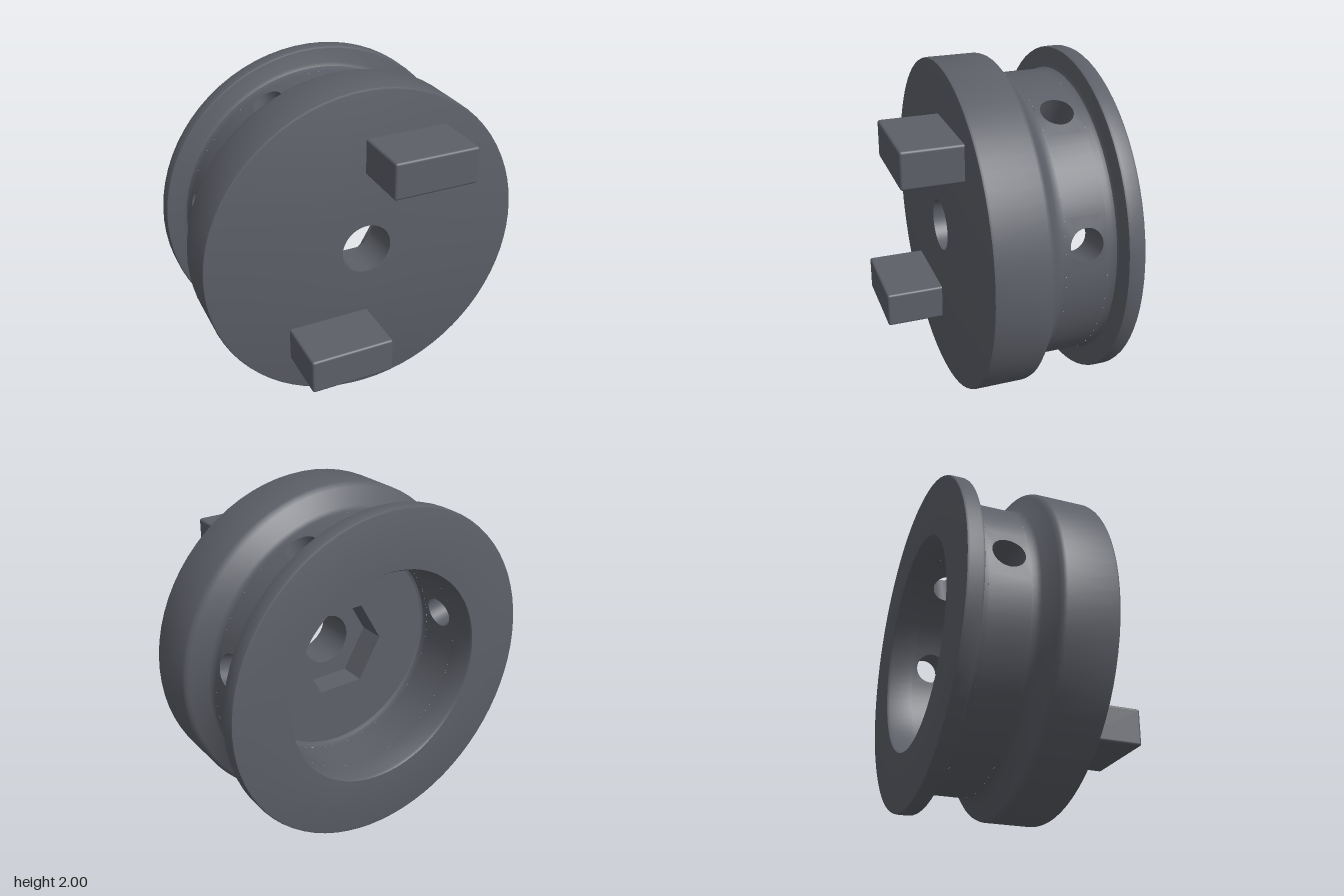
import * as THREE from 'three';
import { mergeGeometries, toCreasedNormals } from 'three/addons/utils/BufferGeometryUtils.js';
import { RoundedBoxGeometry } from 'three/addons/geometries/RoundedBoxGeometry.js';

const RAD = Math.PI / 180;
const OUTER = 0.87, BORE = 0.64;            // groove and bore radii
const BAND_Z = -0.32, BAND_HALF = 0.12;     // band that holds the radial holes
const HOLE_R = 0.095, PATCH_DEG = 10.5;
const HOLES = [12.9, 64.3, 115.7, 167.1];   // hole angles in degrees

// Revolve [radius, z] points about the z axis; angles run from +x towards +y
function revolve(points, start = 0, length = 360, segments = 72) {
  const pts = points.map(([r, z]) => new THREE.Vector2(r, z));
  return new THREE.LatheGeometry(pts, segments, (start + 90) * RAD, length * RAD).rotateX(Math.PI / 2);
}

// Piece of the wall around one radial hole: outer skin, hole lining, bore skin
function holePatch(deg) {
  const N = 24, pos = [], index = [];
  const rows = [[OUTER, false], [OUTER, true], [BORE, true], [BORE, false]];
  for (const [R, round] of rows) {
    for (let i = 0; i <= N; i++) {
      const a = (i / N) * Math.PI * 2, c = Math.cos(a), s = Math.sin(a);
      const m = Math.max(Math.abs(c), Math.abs(s));
      const t = deg * RAD + (round ? Math.asin(HOLE_R * c / R) : PATCH_DEG * RAD * c / m);
      const z = BAND_Z + (round ? HOLE_R * s : BAND_HALF * s / m);
      pos.push(R * Math.cos(t), R * Math.sin(t), z);
    }
  }
  for (let k = 0; k < 3; k++) {
    for (let i = 0; i < N; i++) {
      const a = k * (N + 1) + i, d = a + N + 1;
      index.push(a, a + 1, d + 1, a, d + 1, d);
    }
  }
  const g = new THREE.BufferGeometry();
  g.setAttribute('position', new THREE.Float32BufferAttribute(pos, 3));
  g.setIndex(index);
  g.computeVertexNormals();
  return g;
}

function join(parts) {
  const plain = parts.map((p) => {
    const g = p.index ? p.toNonIndexed() : p;
    g.deleteAttribute('uv');
    return g;
  });
  return toCreasedNormals(mergeGeometries(plain), 0.6);
}

export function createModel() {
  const model = new THREE.Group();
  model.name = 'groovedWheel';
  const steel = new THREE.MeshStandardMaterial({ color: 0x5c5f67 });
  steel.name = 'dark grey steel';

  const add = (geometry, name, x = 0, y = 1, z = 0) => {
    const mesh = new THREE.Mesh(geometry, steel);
    mesh.name = name;
    mesh.position.set(x, y, z);
    model.add(mesh);
  };

  const zBack = BAND_Z - BAND_HALF, zFront = BAND_Z + BAND_HALF;

  // Thin back flange with its bore edge
  add(join([revolve([
    [BORE, zBack], [BORE, -0.585], [0.65, -0.6], [0.985, -0.6], [0.996, -0.596], [1, -0.585],
    [1, -0.515], [0.996, -0.504], [0.985, -0.5], [0.9, -0.5], [0.878, -0.49], [OUTER, -0.47], [OUTER, zBack],
  ])]), 'backFlange');

  // Thick front disc, tapered into the groove, with the centre hole
  add(join([revolve([
    [OUTER, zFront], [OUTER, -0.175], [0.885, -0.15], [0.975, -0.09], [0.993, -0.075], [1, -0.055],
    [1, 0.235], [0.996, 0.246], [0.985, 0.25], [0.155, 0.25], [0.155, 0],
  ])]), 'frontDisc');

  // Groove wall between the radial holes, and the holes themselves
  const wall = [];
  HOLES.forEach((deg, i) => {
    const next = i < HOLES.length - 1 ? HOLES[i + 1] : HOLES[0] + 360;
    const start = deg + PATCH_DEG, length = next - deg - 2 * PATCH_DEG;
    const segments = Math.ceil(length / 5);
    wall.push(holePatch(deg));
    wall.push(revolve([[OUTER, zBack], [OUTER, zFront]], start, length, segments));
    wall.push(revolve([[BORE, zFront], [BORE, zBack]], start, length, segments));
  });
  add(join(wall), 'grooveWall');

  // Bore floor with a hexagonal socket
  const floor = new THREE.Shape().absarc(0, 0, BORE, 0, Math.PI * 2);
  const hex = new THREE.Path();
  for (let i = 0; i < 6; i++) {
    const x = 0.29 * Math.cos(i * Math.PI / 3), y = 0.29 * Math.sin(i * Math.PI / 3);
    if (i) hex.lineTo(x, y); else hex.moveTo(x, y);
  }
  hex.closePath();
  floor.holes.push(hex);
  const socket = new THREE.ExtrudeGeometry(floor, { depth: 0.16, bevelEnabled: false, curveSegments: 36 });
  add(join([
    socket.translate(0, 0, -0.16),
    revolve([[0.62, -0.16], [0.634, -0.166], [BORE, -0.18], [BORE, zFront]]),
  ]), 'boreFloor');
  add(new THREE.RingGeometry(0.155, 0.3, 72).rotateY(Math.PI), 'socketFloor');

  // Two drive lugs on the front face
  const lug = new RoundedBoxGeometry(0.515, 0.22, 0.38, 3, 0.015);
  add(lug, 'upperLug', 0.2475, 1.6, 0.41);
  add(lug, 'lowerLug', -0.2475, 0.455, 0.41);

  return model;
}
